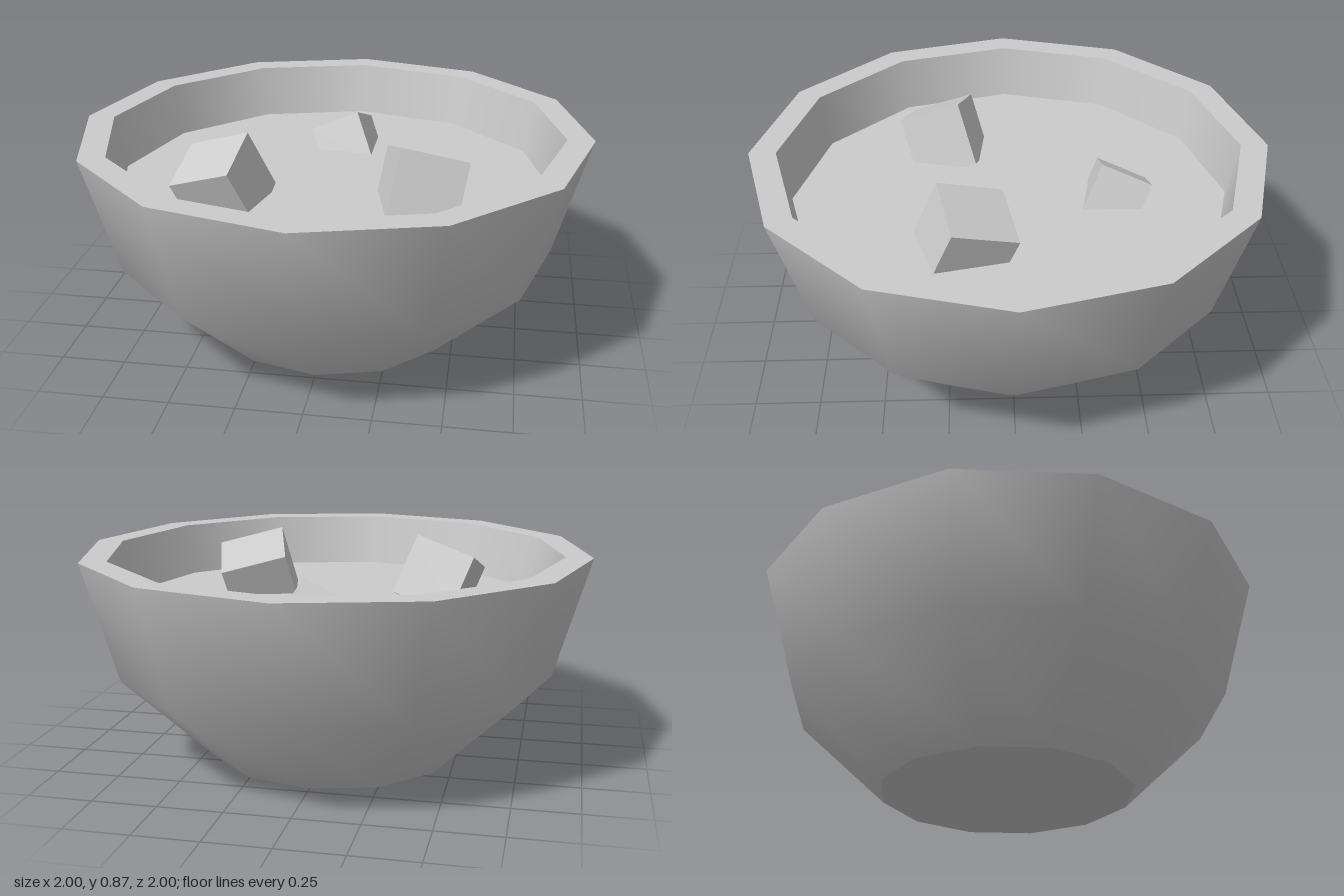
import * as THREE from 'three';

const SIDES = 12;
const LIQUID_Y = 0.62;

export function createModel() {
  const group = new THREE.Group();
  const material = new THREE.MeshStandardMaterial({ color: 0xcccccc });

  const add = (name, geometry) => {
    const mesh = new THREE.Mesh(geometry, material);
    mesh.name = name;
    group.add(mesh);
    return mesh;
  };

  // Twelve-sided rings; each is its own lathe so the edges between them stay sharp
  const ring = (name, profile) =>
    add(name, new THREE.LatheGeometry(profile.map(([r, y]) => new THREE.Vector2(r, y)), SIDES));

  ring('bowlBase', [[0, 0], [0.5, 0.012]]);
  ring('bowlOuterWall', [[0.5, 0.012], [0.865, 0.36], [1, 0.83]]);
  ring('bowlRim', [[1, 0.83], [0.895, 0.83]]);
  ring('bowlInnerWall', [[0.895, 0.83], [0.855, LIQUID_Y]]);
  ring('liquidSurface', [[0.855, LIQUID_Y], [0, LIQUID_Y]]);

  // Tilted cubes, each placed by its highest corner and two edges leaving it
  const cubes = [
    { name: 'rightCube', size: 0.253, peak: [-0.3, 0.865, 0.2], edge: [-0.235, -0.076, -0.053], down: [0.096, -0.245, -0.075] },
    { name: 'leftCube', size: 0.267, peak: [0.289, 0.865, 0.275], edge: [0.254, -0.0665, -0.056], down: [-0.043, -0.245, 0.096] },
    { name: 'backCube', size: 0.211, peak: [0.043, 0.78, -0.356], edge: [0.035, -0.075, -0.1925], down: [0.0695, -0.16, 0.075] },
  ];
  for (const { name, size, peak, edge, down } of cubes) {
    const d = new THREE.Vector3(...down).normalize();
    const a = new THREE.Vector3(...edge);
    a.addScaledVector(d, -a.dot(d)).normalize();
    const b = new THREE.Vector3().crossVectors(a, d);
    const cube = add(name, new THREE.BoxGeometry(size, size, size));
    cube.quaternion.setFromRotationMatrix(new THREE.Matrix4().makeBasis(d, b, a));
    cube.position.set(...peak);
    for (const axis of [a, b, d]) cube.position.addScaledVector(axis, size / 2);
  }

  return group;
}
